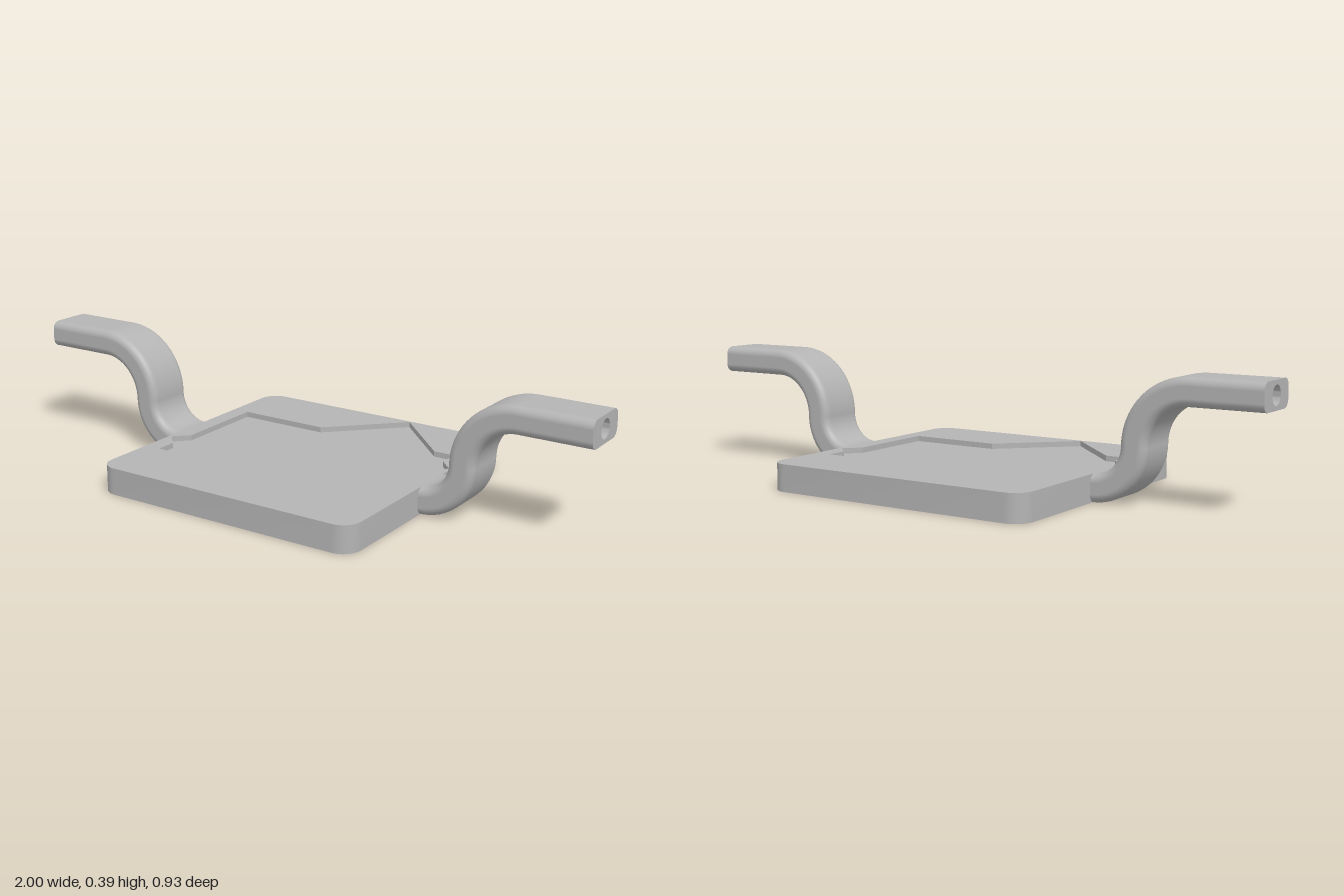
import * as THREE from 'three';
import { toCreasedNormals } from 'three/addons/utils/BufferGeometryUtils.js';

const V = (x, y) => new THREE.Vector2(x, y);

// Loop of a rounded rectangle: half sizes a, b, corner radius r; counter-clockwise with normals
function roundedLoop(a, b, r, steps = 8) {
  const loop = [];
  for (let k = 0; k < 4; k++) {
    const sx = k === 0 || k === 3 ? 1 : -1, sy = k < 2 ? 1 : -1;
    for (let i = 0; i <= steps; i++) {
      const t = (k + i / steps) * Math.PI / 2, n = V(Math.cos(t), Math.sin(t));
      loop.push({ p: V(sx * (a - r) + r * n.x, sy * (b - r) + r * n.y), n });
    }
  }
  return loop;
}

// Upright wall along a closed outline; a clockwise outline faces inwards
function wall(pts, z0, z1) {
  const pos = [];
  pts.forEach((a, i) => {
    const b = pts[(i + 1) % pts.length];
    pos.push(a.x, a.y, z0, b.x, b.y, z0, b.x, b.y, z1, a.x, a.y, z0, b.x, b.y, z1, a.x, a.y, z1);
  });
  const g = new THREE.BufferGeometry();
  g.setAttribute('position', new THREE.Float32BufferAttribute(pos, 3));
  return toCreasedNormals(g, 0.5);
}

function face(pts, hole) {
  const s = new THREE.Shape(pts);
  if (hole) s.holes.push(new THREE.Path(hole));
  return new THREE.ShapeGeometry(s);
}

// Sweep the section along path points [x, y, angle]
function sweep(loop, path) {
  const pos = [], nor = [], idx = [], n = loop.length;
  path.forEach(([x, y, t], i) => {
    const nx = -Math.sin(t), ny = Math.cos(t);
    loop.forEach((s, j) => {
      pos.push(x + nx * s.p.x, y + ny * s.p.x, s.p.y);
      nor.push(nx * s.n.x, ny * s.n.x, s.n.y);
      if (i < path.length - 1) {
        const a = i * n + j, b = i * n + (j + 1) % n;
        idx.push(a, b, b + n, a, b + n, a + n);
      }
    });
  });
  const g = new THREE.BufferGeometry();
  g.setAttribute('position', new THREE.Float32BufferAttribute(pos, 3));
  g.setAttribute('normal', new THREE.Float32BufferAttribute(nor, 3));
  g.setIndex(idx);
  return g;
}

export function createModel() {
  const grey = new THREE.MeshStandardMaterial({ color: 0xb4b4b4 });
  grey.name = 'plain grey';
  const model = new THREE.Group();
  model.name = 'trayWithArms';
  const add = (group, name, geometry) => {
    const m = new THREE.Mesh(geometry, grey);
    m.name = name;
    group.add(m);
  };
  const H = 0.087, floorY = 0.069, half = 0.463;

  // Square plate with a shallow star-cornered recess
  const plate = new THREE.Group();
  plate.name = 'plate';
  const outline = roundedLoop(half, half, 0.06).map(s => s.p);
  const halfRecess = [[-0.408, 0.238], [-0.1, 0.238], [0.118, 0.457], [0.337, 0.238],
    [0.408, 0.238], [0.408, 0.168], [0.455, 0.12], [0.408, 0.073]];
  const recess = [...halfRecess.map(([x, y]) => V(x, y)), ...halfRecess.map(([x, y]) => V(-x, -y))];
  const flat = g => g.rotateX(-Math.PI / 2);
  add(plate, 'plateSides', flat(wall(outline, 0, H)));
  add(plate, 'plateTop', flat(face(outline, recess)).translate(0, H, 0));
  add(plate, 'recessWall', flat(wall(recess, floorY, H)));
  add(plate, 'recessFloor', flat(face(recess)).translate(0, floorY, 0));
  add(plate, 'plateBottom', face(outline).rotateX(Math.PI / 2));
  model.add(plate);

  // S-bent arm path: lower bend, upper bend, straight end
  const section = roundedLoop(H / 2, 0.086, 0.026);
  const endY = 0.35, r1 = 0.134, r2 = 0.172, N = 20;
  const path = [];
  for (let i = 0; i <= N; i++) {
    const t = i / N * Math.PI / 2;
    path.push([half + r1 * Math.sin(t), H / 2 + r1 * (1 - Math.cos(t)), t]);
  }
  for (let i = 0; i <= N; i++) {
    const t = (1 - i / N) * Math.PI / 2;
    path.push([half + r1 + r2 * (1 - Math.sin(t)), endY - r2 + r2 * Math.cos(t), t]);
  }
  path.push([1, endY, 0]);

  // Clockwise circle for the bore in the arm end
  const bore = Array.from({ length: 32 }, (_, i) => {
    const t = -i / 32 * Math.PI * 2;
    return V(0.03 * Math.cos(t), 0.03 * Math.sin(t));
  });
  const capLoop = section.map(s => V(s.p.y, s.p.x));
  const boreDepth = 0.12;
  const toEnd = (g, x = 1) => g.rotateY(Math.PI / 2).translate(x, endY, 0);

  for (const side of ['left', 'right']) {
    const arm = new THREE.Group();
    arm.name = side + 'Arm';
    add(arm, 'armBar', sweep(section, path));
    add(arm, 'armEnd', toEnd(face(capLoop, bore)));
    add(arm, 'boreWall', toEnd(wall(bore, -boreDepth, 0)));
    add(arm, 'boreFloor', toEnd(face(bore), 1 - boreDepth));
    if (side === 'right') arm.rotation.y = Math.PI;
    model.add(arm);
  }
  return model;
}
